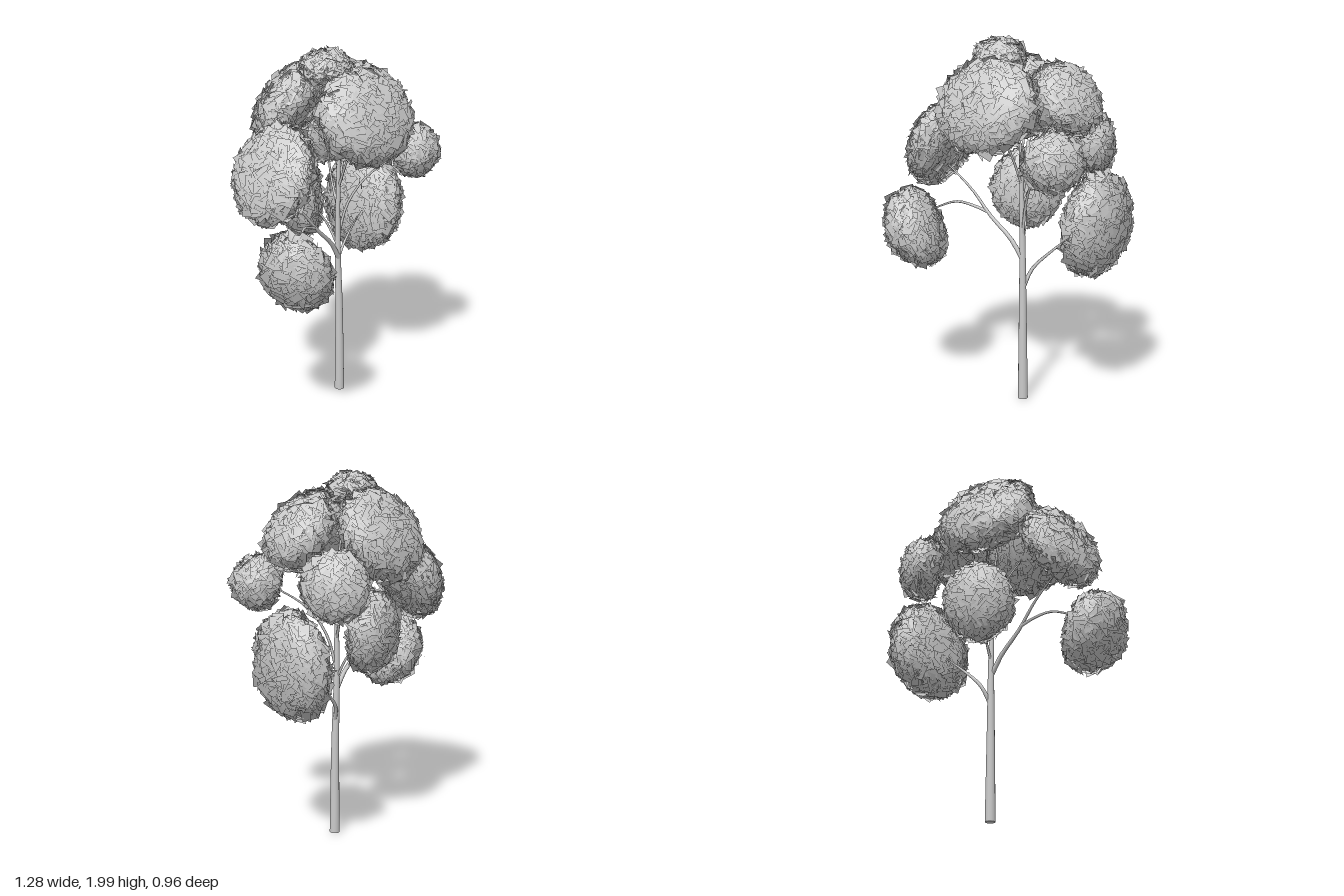
import * as THREE from 'three';

const V = (x, y, z) => new THREE.Vector3(x, y, z);

// Small seeded random generator
function seeded(seed) {
  return () => {
    seed = (seed * 1664525 + 1013904223) >>> 0;
    return seed / 4294967296;
  };
}

// Tapered limb swept along a smooth curve through the points
function limb(points, r0, r1, sides, steps) {
  const curve = new THREE.CatmullRomCurve3(points.map((p) => V(...p)));
  const geo = new THREE.TubeGeometry(curve, steps, 1, sides);
  const pos = geo.attributes.position;
  const v = V(0, 0, 0);
  for (let i = 0; i < pos.count; i++) {
    const t = Math.floor(i / (sides + 1)) / steps;
    const c = curve.getPointAt(t);
    v.fromBufferAttribute(pos, i).sub(c).multiplyScalar(r0 + (r1 - r0) * t).add(c);
    pos.setXYZ(i, v.x, v.y, v.z);
  }
  return geo;
}

// Thick round pad of overlapping square leaves; its domed side faces the given direction
function leafCluster(center, facing, [ru, rv, rn], seed) {
  const rand = seeded(seed);
  const spread = () => rand() * 2 - 1;
  const n = V(...facing).normalize();
  const u = V(0, 1, 0).cross(n).normalize();
  const w = n.clone().cross(u);
  const basis = new THREE.Matrix4().makeBasis(u, w, n);
  const count = Math.round(17000 * ru * rv + 300);
  const positions = [], normals = [], index = [];
  for (let i = 0; i < count; i++) {
    // Even directions over the sphere, with a fuller rim and a flatter inner side
    const h = 1 - 2 * (i + 0.5) / count;
    const a = i * 2.39996;
    const s = Math.sqrt(1 - h * h);
    const full = Math.pow(s, 0.8);
    const depth = h < 0 ? rn * 0.85 : rn;
    const p = V(full * Math.cos(a) * ru, full * Math.sin(a) * rv, Math.sign(h) * Math.pow(Math.abs(h), 0.8) * depth);
    p.multiplyScalar(0.92 + 0.11 * rand());
    // The rim bends slightly back towards the trunk
    p.z -= ru * 0.15 * s * s;
    p.applyMatrix4(basis).add(V(...center));
    const out = V(s * Math.cos(a) / ru, s * Math.sin(a) / rv, h / depth).normalize().applyMatrix4(basis);
    // Leaf lies roughly tangent, with a random tilt and spin
    const face = out.clone().add(V(spread(), spread(), spread()).multiplyScalar(0.65)).normalize();
    const e1 = V(spread(), spread(), spread()).cross(face).normalize();
    const e2 = face.clone().cross(e1);
    const size = 0.025 + 0.015 * rand();
    const b = positions.length / 3;
    for (const [x, y] of [[-1, -1], [1, -1], [1, 1], [-1, 1]]) {
      const q = p.clone().addScaledVector(e1, x * size).addScaledVector(e2, y * size);
      positions.push(q.x, q.y, q.z);
      normals.push(out.x, out.y, out.z);
    }
    index.push(b, b + 1, b + 2, b, b + 2, b + 3);
  }
  const geo = new THREE.BufferGeometry();
  geo.setAttribute('position', new THREE.Float32BufferAttribute(positions, 3));
  geo.setAttribute('normal', new THREE.Float32BufferAttribute(normals, 3));
  geo.setIndex(index);
  return geo;
}

export function createModel() {
  const tree = new THREE.Group();
  tree.name = 'tree';
  const bark = new THREE.MeshStandardMaterial({ color: 0xcccccc });
  const leaf = new THREE.MeshStandardMaterial({ color: 0xcccccc, side: THREE.DoubleSide });
  const add = (name, geo, mat) => {
    const mesh = new THREE.Mesh(geo, mat);
    mesh.name = name;
    tree.add(mesh);
  };

  // Trunk and its base cap
  add('trunk', limb([[0.097, 0, 0.018], [0.093, 0.5, 0.016], [0.085, 0.9, 0.01], [0.08, 1.42, 0.02]], 0.028, 0.009, 12, 24), bark);
  const base = new THREE.CircleGeometry(0.028, 12).rotateX(Math.PI / 2).translate(0.097, 0, 0.018);
  add('trunkBase', base, bark);

  // Branches: name, start radius, path
  const branches = [
    ['lowerLeftBranch', 0.012, [[0.095, 0.64, 0.015], [0.12, 0.74, -0.03], [0.22, 0.85, -0.07], [0.36, 0.97, -0.1]]],
    ['rightBranch', 0.014, [[0.085, 0.81, 0.015], [0.02, 0.91, 0.03], [-0.1, 1.02, 0.05], [-0.22, 1.15, 0.06], [-0.38, 1.28, 0.08]]],
    ['lowerRightBranch', 0.009, [[-0.12, 1.04, 0.05], [-0.2, 1.07, 0.08], [-0.28, 1.09, 0.13], [-0.42, 1.03, 0.22]]],
    ['backBranch', 0.008, [[0.085, 0.88, 0.01], [0.06, 1.0, -0.05], [0.0, 1.12, -0.12]]],
    ['frontLeftBranch', 0.009, [[0.085, 0.92, 0.01], [0.13, 1.12, 0.04], [0.22, 1.27, 0.1], [0.4, 1.4, 0.21]]],
    ['backLeftBranch', 0.008, [[0.083, 1.1, 0.01], [0.12, 1.25, -0.08], [0.27, 1.4, -0.27]]],
    ['upperLeftBranch', 0.008, [[0.083, 1.15, 0.01], [0.14, 1.38, 0.0], [0.3, 1.63, -0.03]]],
    ['upperFrontBranch', 0.008, [[0.083, 1.2, 0.01], [0.07, 1.4, 0.1], [0.04, 1.6, 0.22]]],
    ['upperBackBranch', 0.008, [[0.08, 1.35, 0.015], [0.03, 1.5, -0.07], [-0.06, 1.62, -0.14]]],
    ['topBranch', 0.008, [[0.08, 1.4, 0.02], [0.04, 1.65, 0.03], [-0.02, 1.86, 0.04]]],
  ];
  for (const [name, r, path] of branches) add(name, limb(path, r, 0.004, 7, 12), bark);

  // Foliage: name, centre, facing direction, radii (across, along, thickness)
  const clusters = [
    ['frontFoliage', [0.04, 1.66, 0.28], [0, 0.45, 0.9], [0.27, 0.23, 0.125]],
    ['topFoliage', [-0.04, 1.89, 0.05], [0, 1, 0.1], [0.12, 0.11, 0.07]],
    ['upperBackFoliage', [-0.09, 1.67, -0.18], [-0.35, 0.5, -0.8], [0.26, 0.24, 0.12]],
    ['rightFoliage', [-0.44, 1.41, 0.07], [-0.9, 0.42, 0.05], [0.22, 0.24, 0.105]],
    ['lowerRightFoliage', [-0.465, 0.94, 0.27], [-0.85, -0.42, 0.2], [0.17, 0.2, 0.125]],
    ['lowerBackFoliage', [-0.03, 1.15, -0.18], [-0.6, -0.1, -0.8], [0.175, 0.2, 0.11]],
    ['lowerLeftFoliage', [0.47, 1.02, -0.15], [0.98, -0.1, -0.08], [0.235, 0.265, 0.125]],
    ['frontLeftFoliage', [0.44, 1.405, 0.23], [0.8, 0.3, 0.5], [0.135, 0.13, 0.12]],
    ['backLeftFoliage', [0.3, 1.43, -0.32], [0.6, 0.2, -0.8], [0.15, 0.16, 0.1]],
    ['upperLeftFoliage', [0.345, 1.69, -0.03], [0.75, 0.65, 0], [0.17, 0.19, 0.11]],
  ];
  clusters.forEach(([name, c, facing, radii], i) => add(name, leafCluster(c, facing, radii, 11 + i * 97), leaf));

  return tree;
}
